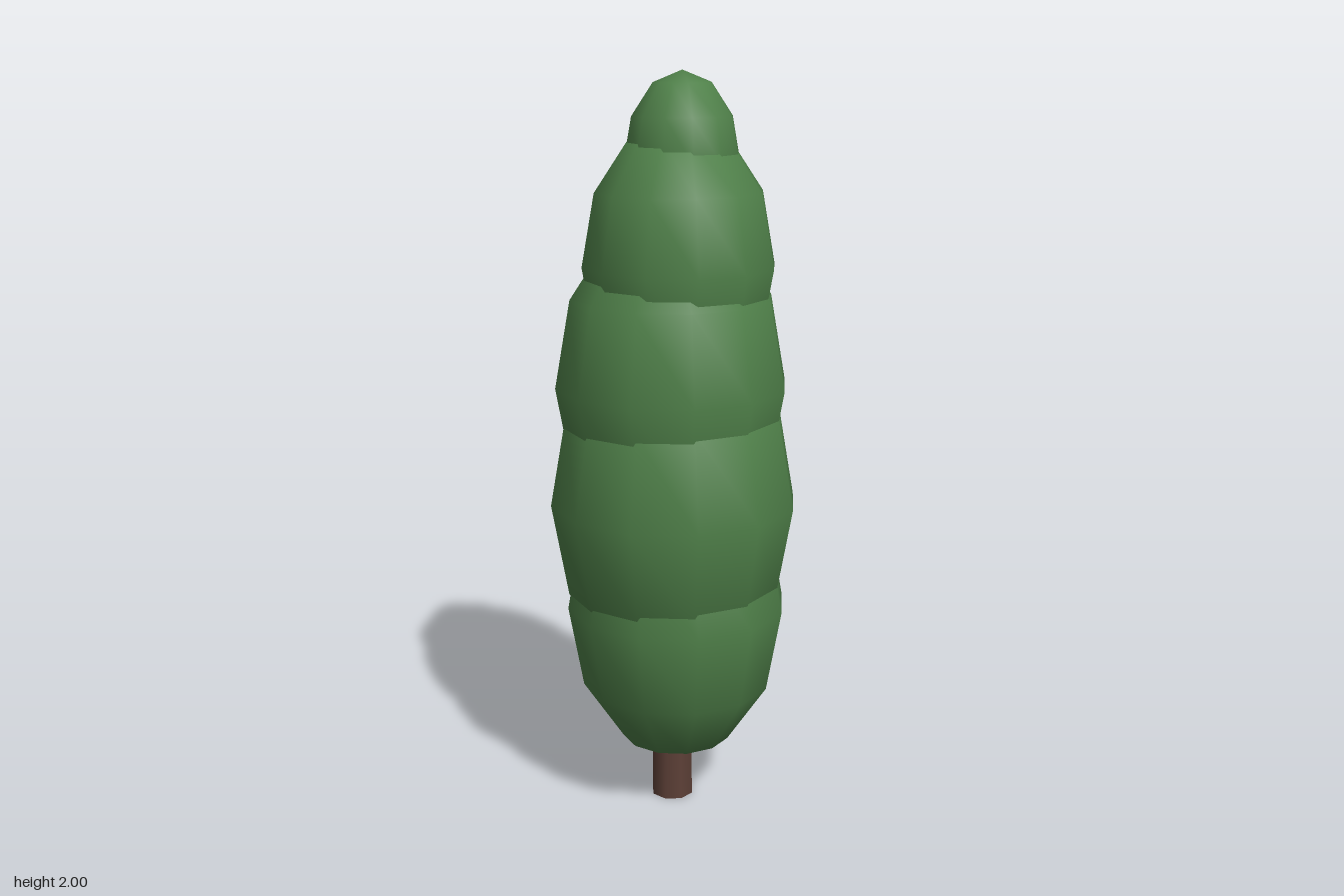
import * as THREE from 'three';

export function createModel() {
  const group = new THREE.Group();
  group.name = 'cypressTree';

  const foliage = new THREE.MeshStandardMaterial({ color: 0x4f8049 });
  foliage.name = 'foliage green';
  const bark = new THREE.MeshStandardMaterial({ color: 0x5d4037 });
  bark.name = 'bark brown';

  // Trunk, running up into the lowest foliage clump
  const trunk = new THREE.Mesh(new THREE.CylinderGeometry(0.054, 0.059, 0.4, 8), bark);
  trunk.name = 'trunk';
  trunk.position.set(-0.004, 0.2, 0);
  group.add(trunk);

  // Stacked foliage clumps, bottom to top: [x, centre height, radius, half height]
  const clumps = [
    [0.008, 0.575, 0.3, 0.45],
    [0, 0.868, 0.334, 0.505],
    [-0.006, 1.187, 0.311, 0.467],
    [0.015, 1.505, 0.256, 0.381],
    [0.023, 1.772, 0.152, 0.228],
  ];
  const ball = new THREE.SphereGeometry(1, 12, 6);
  clumps.forEach(([x, y, radius, halfHeight], i) => {
    const clump = new THREE.Mesh(ball, foliage);
    clump.name = `foliageClump${i + 1}`;
    clump.position.set(x, y, 0);
    clump.scale.set(radius, halfHeight, radius);
    group.add(clump);
  });

  return group;
}
